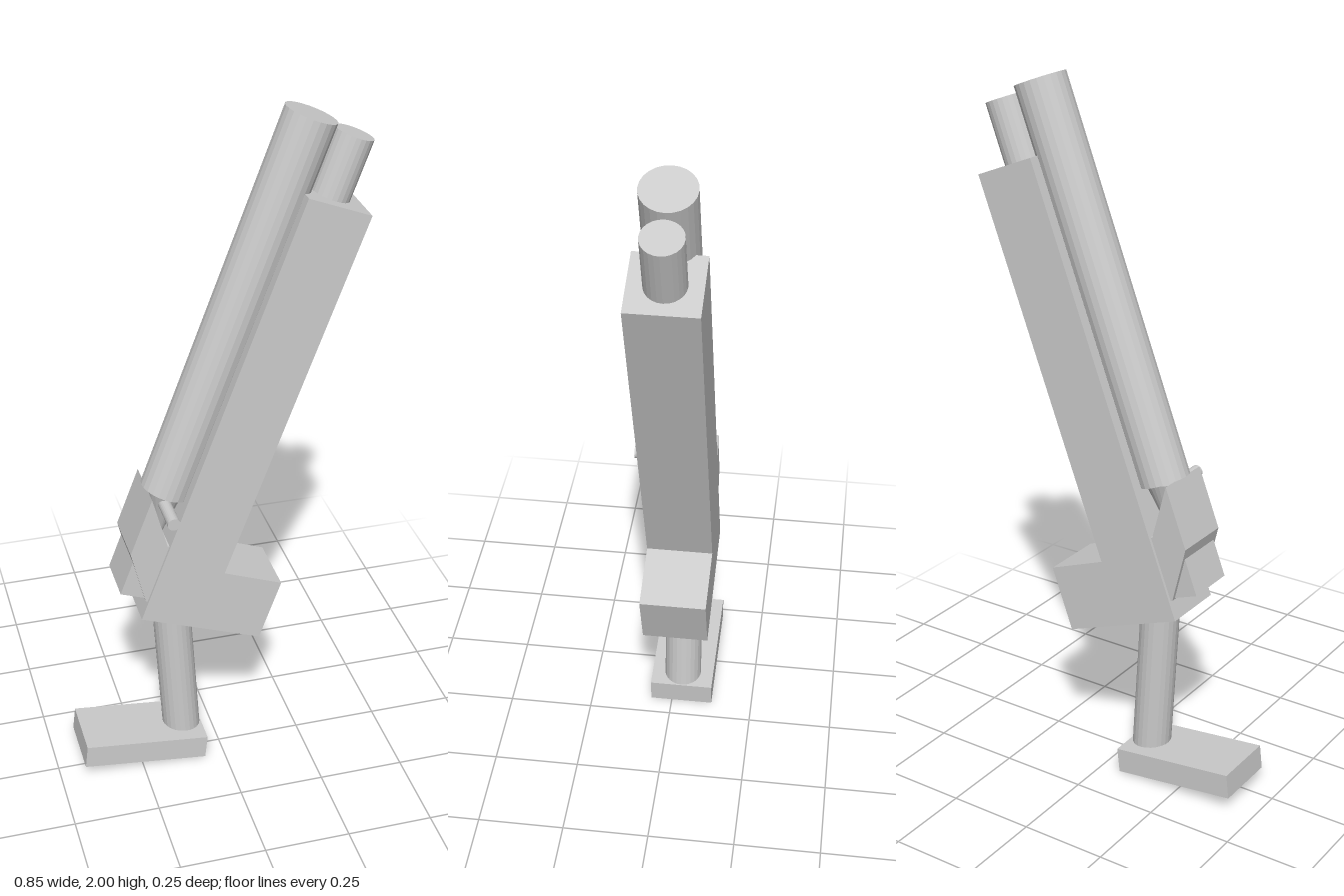
import * as THREE from 'three';

const MID = -0.03; // depth of the shared centre plane
const material = new THREE.MeshStandardMaterial({ color: 0xcccccc, flatShading: true });

function addMesh(group, name, geometry) {
  const mesh = new THREE.Mesh(geometry, material);
  mesh.name = name;
  group.add(mesh);
  return mesh;
}

// Side outline extruded symmetrically about the centre plane
function addPrism(group, name, outline, width) {
  const shape = new THREE.Shape(outline.map(([x, y]) => new THREE.Vector2(x, y)));
  const geometry = new THREE.ExtrudeGeometry(shape, { depth: width, bevelEnabled: false });
  geometry.translate(0, 0, MID - width / 2);
  return addMesh(group, name, geometry);
}

// Round rod between two points
function addRod(group, name, from, to, rFrom, rTo = rFrom) {
  const a = new THREE.Vector3(...from), b = new THREE.Vector3(...to);
  const axis = b.clone().sub(a);
  const mesh = addMesh(group, name, new THREE.CylinderGeometry(rTo, rFrom, axis.length(), 24));
  mesh.position.copy(a).add(b).multiplyScalar(0.5);
  mesh.quaternion.setFromUnitVectors(new THREE.Vector3(0, 1, 0), axis.normalize());
  return mesh;
}

export function createModel() {
  const model = new THREE.Group();
  model.name = 'leaningStrut';

  // L-shaped main housing
  addPrism(model, 'housing', [
    [-0.245, 0.55], [0.105, 0.42], [0.17, 0.6], [0, 0.665], [0.395, 1.715], [0.22, 1.782],
  ], 0.19);

  // Long tube along the back of the housing, and the short one from its top
  addRod(model, 'longTube', [-0.147, 0.917, MID], [0.253, 1.973, MID], 0.073);
  addRod(model, 'shortTube', [0.302, 1.725, MID], [0.371, 1.91, MID], 0.055);

  // Bracket with its slanted seat, and the block below it
  addPrism(model, 'bracket', [
    [-0.205, 0.94], [-0.27, 0.77], [-0.23, 0.605], [-0.2, 0.6], [-0.14, 0.78], [-0.163, 0.78],
  ], 0.173);
  addPrism(model, 'lowerBlock', [
    [-0.3, 0.635], [-0.2, 0.598], [-0.15, 0.73], [-0.25, 0.767],
  ], 0.15);

  // Tapered joint and its pivot pin
  addRod(model, 'jointCone', [-0.165, 0.785, MID], [-0.147, 0.917, MID], 0.008, 0.055);
  addRod(model, 'pivotPin', [-0.159, 0.892, MID], [-0.159, 0.892, 0.12], 0.018);

  // Leg and foot
  addRod(model, 'leg', [-0.11, 0.06, MID], [-0.139, 0.56, MID], 0.056);
  addPrism(model, 'foot', [
    [-0.428, 0.043], [-0.06, 0], [-0.052, 0.073], [-0.42, 0.114],
  ], 0.19);

  return model;
}
